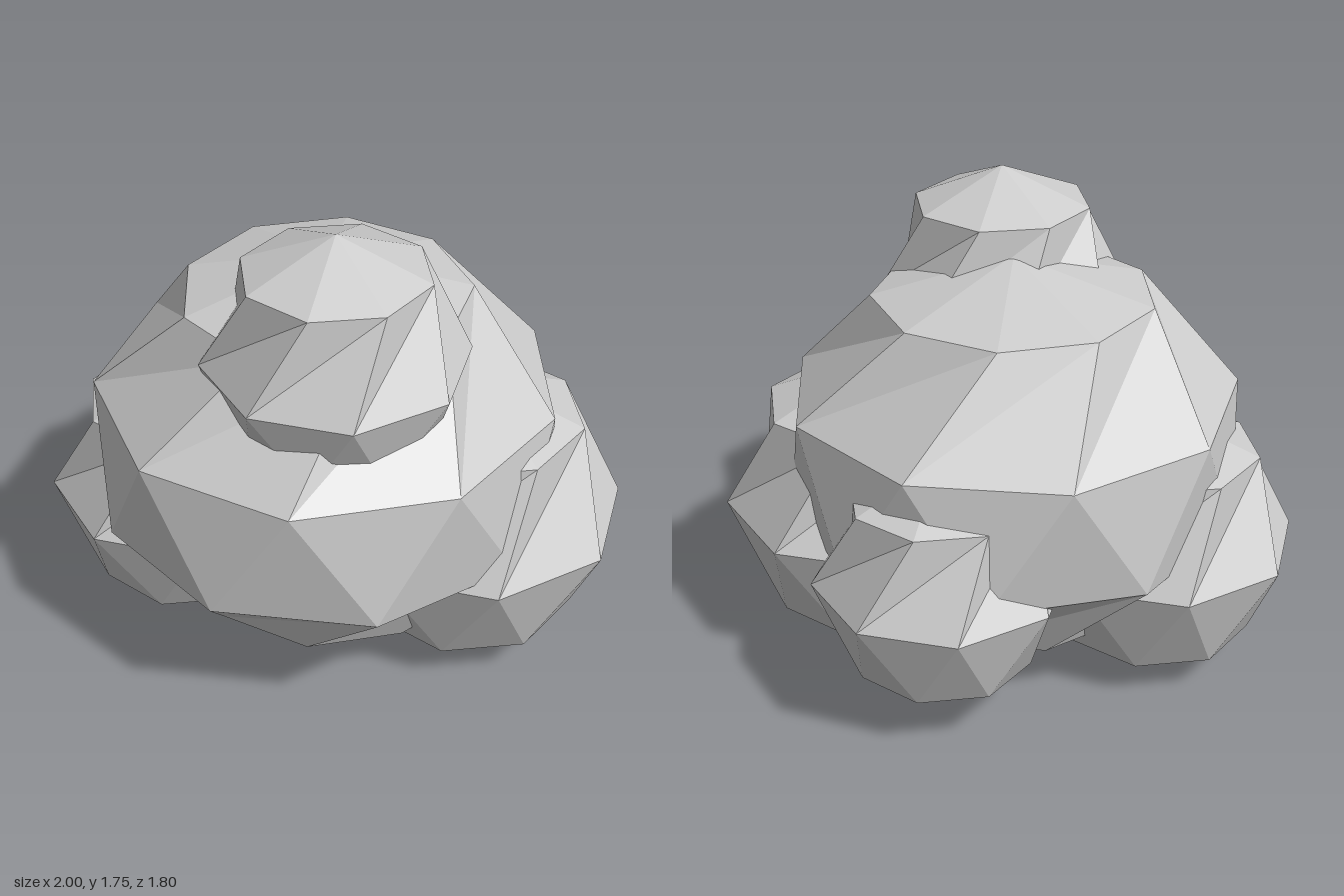
import * as THREE from 'three';

const material = new THREE.MeshStandardMaterial({ color: 0xcccccc, flatShading: true });

// Faceted ball built from rings; every odd ring is turned by half a step.
function facetedBall(radius, segments, rows) {
  const positions = [];
  const index = [];
  for (let r = 0; r <= rows; r++) {
    const polar = (r / rows) * Math.PI;
    const ringRadius = radius * Math.sin(polar);
    for (let s = 0; s < segments; s++) {
      const angle = ((s + (r % 2) * 0.5) / segments) * Math.PI * 2;
      positions.push(-ringRadius * Math.cos(angle), radius * Math.cos(polar), ringRadius * Math.sin(angle));
    }
  }
  for (let r = 0; r < rows; r++) {
    for (let s = 0; s < segments; s++) {
      const next = (s + 1) % segments;
      const a = r * segments + s, b = r * segments + next;
      const c = a + segments, d = b + segments;
      if (r > 0) index.push(a, c, b);
      if (r < rows - 1) index.push(b, c, d);
    }
  }
  // The poles are single points, so the end rows are plain fans.
  const geometry = new THREE.BufferGeometry();
  geometry.setAttribute('position', new THREE.Float32BufferAttribute(positions, 3));
  geometry.setIndex(index);
  geometry.computeVertexNormals();
  return geometry;
}

export function createModel() {
  const model = new THREE.Group();
  model.name = 'lumpyMound';

  const addLump = (name, radius, segments, rows, x, y, z, squash = 1) => {
    const mesh = new THREE.Mesh(facetedBall(radius, segments, rows), material);
    mesh.name = name;
    mesh.position.set(x, y, z);
    mesh.scale.y = squash;
    model.add(mesh);
  };

  // Large squashed core
  addLump('mainLump', 0.85, 9, 5, 0, 0.803, 0.1, 0.85);
  // Smaller lumps around and on top of it
  addLump('leftLump', 0.55, 8, 4, 0.45, 0.55, -0.15);
  addLump('rightLump', 0.5, 8, 4, -0.5, 0.5, 0.3);
  addLump('topLump', 0.45, 8, 4, 0.2, 1.3, 0.3);
  addLump('backLump', 0.45, 8, 4, -0.1, 0.55, -0.45);

  return model;
}
